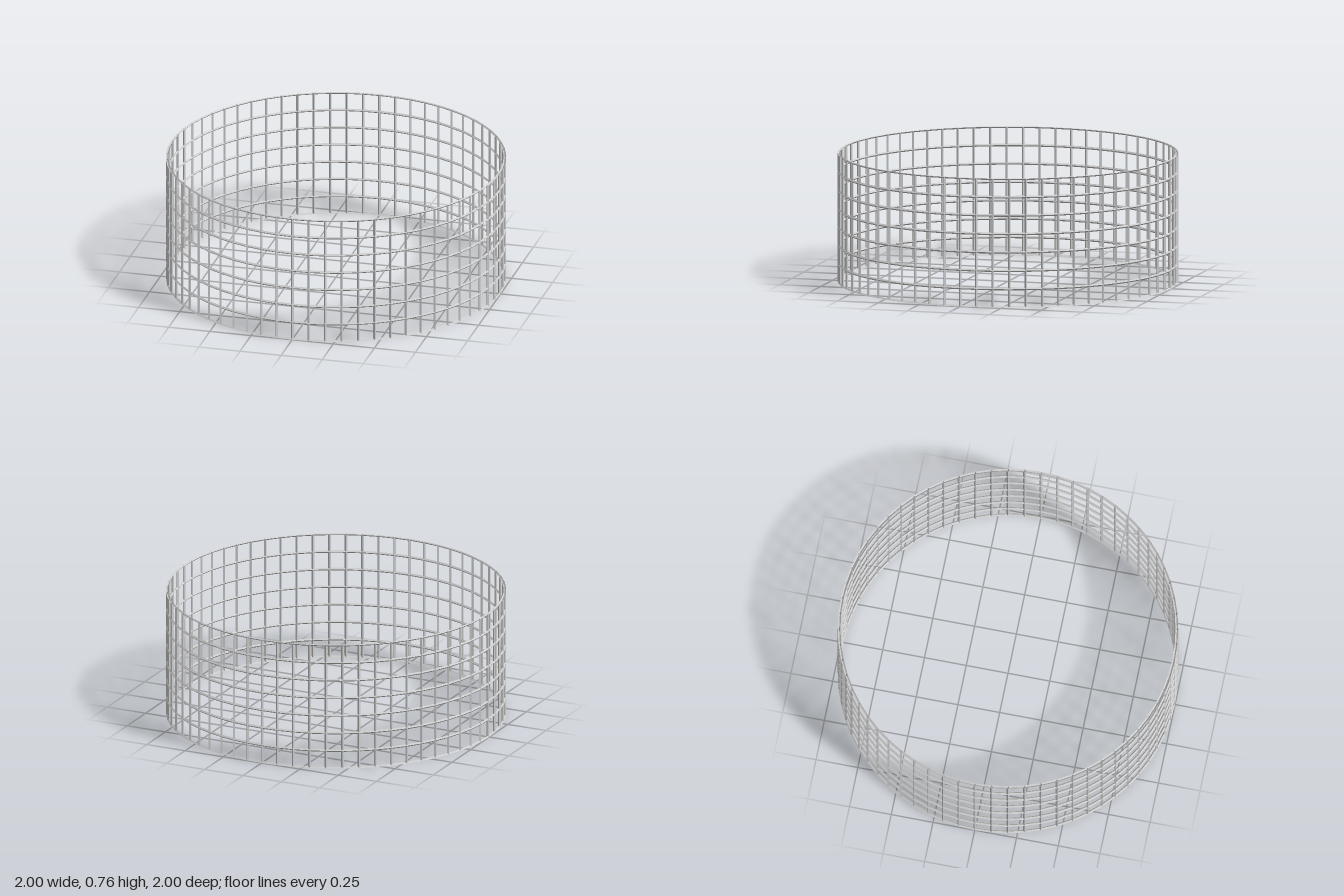
import * as THREE from 'three';

const SIDES = 64;      // uprights around the ring
const ROWS = 7;        // rows of openings
const HEIGHT = 0.765;
const HALF = 0.008;    // half the diagonal of a diamond-section bar
const RADIUS = 1 - HALF;

// Point on the cylinder: column i, row j, at radius r
function point(i, j, r) {
  const a = (i / SIDES) * Math.PI * 2;
  return new THREE.Vector3(Math.sin(a) * r, (j / ROWS) * HEIGHT, Math.cos(a) * r);
}

function addQuad(out, a, b, c, d) {
  for (const p of [a, b, c, a, c, d]) out.push(p.x, p.y, p.z);
}

function makeMesh(name, positions) {
  const geometry = new THREE.BufferGeometry();
  geometry.setAttribute('position', new THREE.Float32BufferAttribute(positions, 3));
  geometry.computeVertexNormals();
  const material = new THREE.MeshStandardMaterial({
    color: 0xcccccc, flatShading: true, side: THREE.DoubleSide,
  });
  const mesh = new THREE.Mesh(geometry, material);
  mesh.name = name;
  return mesh;
}

export function createModel() {
  const hoops = [];
  const uprights = [];
  const u = HALF / (2 * RADIUS * Math.sin(Math.PI / SIDES)); // inset along the chord
  const v = HALF / (HEIGHT / ROWS);                          // inset along the height

  // Each opening is framed by four sloped strips outside and four inside;
  // neighbouring frames meet to form diamond-section bars, open at both rims.
  for (let i = 0; i < SIDES; i++) {
    for (let j = 0; j < ROWS; j++) {
      const corners = [[0, 0], [1, 0], [1, 1], [0, 1]];
      const outer = corners.map(([x, y]) => point(i + x, j + y, RADIUS + HALF));
      const inner = corners.map(([x, y]) => point(i + x, j + y, RADIUS - HALF));
      const hole = corners.map(([x, y]) => {
        const row = j + (y ? 1 - v : v);
        return point(i, row, RADIUS).lerp(point(i + 1, row, RADIUS), x ? 1 - u : u);
      });
      for (let k = 0; k < 4; k++) {
        const n = (k + 1) % 4;
        const bars = k % 2 ? uprights : hoops;
        addQuad(bars, outer[k], outer[n], hole[n], hole[k]);
        addQuad(bars, inner[k], hole[k], hole[n], inner[n]);
      }
    }
  }

  const group = new THREE.Group();
  group.name = 'ringCage';
  group.add(makeMesh('hoops', hoops), makeMesh('uprights', uprights));
  return group;
}
